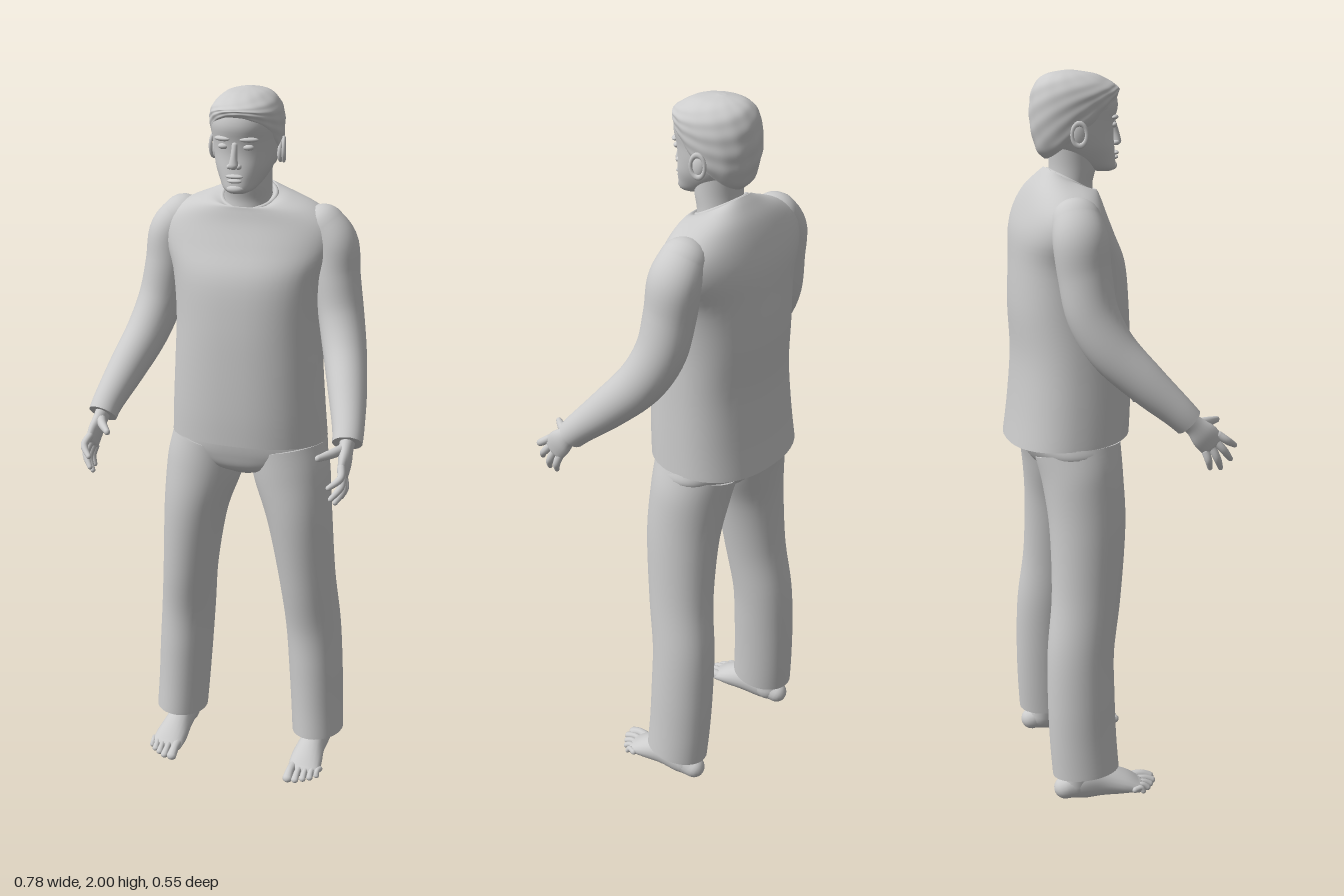
import * as THREE from 'three';

const V = (x, y, z) => new THREE.Vector3(x, y, z);
const grey = new THREE.MeshStandardMaterial({ color: 0xcccccc });
grey.name = 'plain grey';

// Smooth interpolation through rows of numbers
function sample(rows, t) {
  const n = rows.length - 1, f = Math.min(t * n, n - 1e-6), i = Math.floor(f), k = f - i;
  const p = (j) => rows[Math.max(0, Math.min(n, j))];
  return rows[0].map((_, c) => {
    const a = p(i - 1)[c], b = p(i)[c], d = p(i + 1)[c], e = p(i + 2)[c];
    return b + 0.5 * k * (d - a + k * (2 * a - 5 * b + 4 * d - e + k * (3 * (b - d) + e - a)));
  });
}

// Skin over closed rings of points, with capped ends
function skin(rings) {
  const n = rings[0].length, pos = [], index = [];
  const push = (v) => pos.push(v.x, v.y, v.z);
  rings.forEach((r) => r.forEach(push));
  for (let i = 0; i < rings.length - 1; i++) {
    for (let j = 0; j < n; j++) {
      const a = i * n + j, c = i * n + (j + 1) % n;
      index.push(a, a + n, c, a + n, c + n, c);
    }
  }
  [rings[0], rings[rings.length - 1]].forEach((ring, top) => {
    const start = pos.length / 3, mid = V(0, 0, 0);
    ring.forEach((v) => { push(v); mid.addScaledVector(v, 1 / n); });
    push(mid);
    for (let j = 0; j < n; j++) {
      const a = start + j, b = start + (j + 1) % n;
      index.push(start + n, top ? b : a, top ? a : b);
    }
  });
  const g = new THREE.BufferGeometry();
  g.setAttribute('position', new THREE.Float32BufferAttribute(pos, 3));
  g.setIndex(index);
  g.computeVertexNormals();
  return g;
}

// Upright body from rows [y, half width, front z, back z, tilt]
function loft(rows, power = 2, bump = () => 1, steps = 40, sides = 48) {
  const rings = [];
  for (let i = 0; i <= steps; i++) {
    const [y, rx, zf, zb, tilt] = sample(rows, i / steps);
    const ring = [];
    for (let j = 0; j < sides; j++) {
      const a = j / sides * Math.PI * 2, c = Math.cos(a), s = Math.sin(a);
      const e = (v) => Math.sign(v) * Math.abs(v) ** (2 / power);
      const k = bump(a, y);
      ring.push(V(rx * e(c) * k, y + tilt * s, (zf + zb) / 2 + (zf - zb) / 2 * e(s) * k));
    }
    rings.push(ring);
  }
  return skin(rings);
}

// Limb along rows [x, y, z, half width, half depth], rounded at chosen ends
function limb(rows, side = 1, roundStart = true, roundEnd = true, floor = -1, sides = 20) {
  const steps = rows.length * 5, rings = [];
  const at = (t) => { const r = sample(rows, t); r[0] *= side; return r; };
  const ring = (t, scale, shift) => {
    const r = at(t), a = at(Math.max(0, t - 0.02)), b = at(Math.min(1, t + 0.02));
    const dir = V(b[0] - a[0], b[1] - a[1], b[2] - a[2]).normalize();
    const u = V(1, 0, 0).addScaledVector(dir, -dir.x).normalize();
    const v = u.clone().cross(dir), out = [];
    for (let j = 0; j < sides; j++) {
      const w = j / sides * Math.PI * 2;
      const p = V(r[0], r[1], r[2]).addScaledVector(u, r[3] * scale * Math.cos(w))
        .addScaledVector(v, r[4] * scale * Math.sin(w))
        .addScaledVector(dir, shift * Math.min(r[3], r[4]));
      p.y = Math.max(floor, p.y);
      out.push(p);
    }
    rings.push(out);
  };
  const dome = [0.1, 0.4, 0.7, 1.0, 1.3];
  if (roundStart) dome.forEach((a) => ring(0, Math.sin(a), -Math.cos(a)));
  for (let i = 0; i <= steps; i++) ring(i / steps, 1, 0);
  if (roundEnd) dome.slice().reverse().forEach((a) => ring(1, Math.sin(a), Math.cos(a)));
  return skin(rings);
}

export function createModel() {
  const model = new THREE.Group();
  model.name = 'standing man';
  const add = (name, geometry, parent = model) => {
    const m = new THREE.Mesh(geometry, grey);
    m.name = name;
    parent.add(m);
    return m;
  };
  const blob = (name, x, y, z, rx, ry, rz, tilt = 0) => {
    const m = add(name, new THREE.SphereGeometry(1, 20, 14));
    m.position.set(x, y, z);
    m.scale.set(rx, ry, rz);
    m.rotation.x = tilt;
    return m;
  };

  // Loose sweater with a dipping back hem and sloped neckline
  add('sweater', loft([
    [1.025, 0.222, 0.06, -0.275, 0.013], [1.12, 0.216, 0.064, -0.262, 0.005],
    [1.25, 0.208, 0.064, -0.252, 0], [1.38, 0.204, 0.06, -0.257, 0],
    [1.5, 0.215, 0.047, -0.252, 0], [1.58, 0.245, 0.013, -0.246, 0],
    [1.64, 0.24, -0.012, -0.228, 0], [1.685, 0.185, -0.022, -0.203, -0.008],
    [1.71, 0.115, -0.025, -0.175, -0.02], [1.715, 0.078, -0.032, -0.158, -0.033]], 2.3));
  add('collar', skinRing());

  // Trouser seat
  add('trouserSeat', loft([
    [0.925, 0.05, -0.03, -0.15, 0], [0.95, 0.15, 0.005, -0.2, 0],
    [0.99, 0.222, 0.02, -0.228, 0], [1.04, 0.218, 0.028, -0.245, 0],
    [1.1, 0.2, 0.03, -0.23, 0]], 2.3));

  // Head, neck and hair
  add('neck', loft([
    [1.64, 0.075, -0.025, -0.165, 0], [1.7, 0.066, -0.03, -0.15, 0],
    [1.75, 0.064, -0.02, -0.145, 0], [1.82, 0.066, -0.02, -0.15, 0]]));
  add('head', loft([
    [1.735, 0.022, 0.025, -0.02, 0], [1.745, 0.042, 0.034, -0.06, 0],
    [1.77, 0.06, 0.033, -0.115, 0], [1.8, 0.075, 0.03, -0.145, 0],
    [1.835, 0.084, 0.027, -0.168, 0], [1.87, 0.088, 0.031, -0.182, 0],
    [1.91, 0.092, 0.039, -0.188, 0], [1.95, 0.084, 0.026, -0.178, 0],
    [1.98, 0.055, -0.01, -0.15, 0], [1.992, 0.01, -0.07, -0.09, 0]], 2.15));
  add('hair', loft([
    [1.85, 0.085, 0.028, -0.158, 0.08], [1.865, 0.092, 0.039, -0.178, 0.072],
    [1.9, 0.096, 0.043, -0.194, 0.048], [1.935, 0.094, 0.039, -0.194, 0.02],
    [1.965, 0.08, 0.02, -0.18, 0.003], [1.987, 0.052, -0.02, -0.15, 0],
    [1.997, 0.008, -0.08, -0.1, 0]], 2.1,
  (a, y) => 1 + 0.014 * Math.sin(a * 9 + y * 70) * Math.sin(a * 4 - y * 140), 60, 80));

  // Face
  add('nose', limb([[0, 1.862, 0.029, 0.008, 0.008], [0, 1.835, 0.036, 0.009, 0.01],
    [0, 1.812, 0.041, 0.013, 0.011]]));
  blob('upperLip', 0, 1.782, 0.033, 0.024, 0.006, 0.011);
  blob('lowerLip', 0, 1.77, 0.032, 0.02, 0.006, 0.011);
  blob('chin', 0, 1.748, 0.023, 0.025, 0.013, 0.017);
  for (const s of [1, -1]) {
    const label = s > 0 ? 'left' : 'right';
    blob(label + 'Nostril', s * 0.012, 1.808, 0.035, 0.008, 0.007, 0.01);
    blob(label + 'Eye', s * 0.034, 1.857, 0.02, 0.015, 0.008, 0.011);
    blob(label + 'Brow', s * 0.036, 1.877, 0.022, 0.025, 0.007, 0.012).rotation.y = s * 0.3;
    blob(label + 'Ear', s * 0.09, 1.835, -0.085, 0.01, 0.031, 0.019, -0.2);
    const rim = add(label + 'EarRim', new THREE.TorusGeometry(0.019, 0.005, 8, 24));
    rim.position.set(s * 0.097, 1.838, -0.087);
    rim.rotation.set(0, Math.PI / 2 + s * 0.25, 0);
    rim.scale.y = 1.5;

    // Bent sleeve ending in an open-looking cuff
    add(label + 'Sleeve', limb([
      [0.2, 1.632, -0.122, 0.06, 0.065], [0.234, 1.585, -0.12, 0.063, 0.072],
      [0.244, 1.5, -0.112, 0.063, 0.07], [0.262, 1.4, -0.096, 0.062, 0.068],
      [0.287, 1.31, -0.05, 0.059, 0.064], [0.318, 1.225, 0.03, 0.052, 0.055],
      [0.342, 1.155, 0.105, 0.043, 0.044], [0.349, 1.122, 0.138, 0.04, 0.04]], s, true, false, -1, 32));

    // Hand
    const hand = new THREE.Group();
    hand.name = label + 'Hand';
    model.add(hand);
    add('palm', limb([[0.348, 1.14, 0.12, 0.022, 0.027], [0.35, 1.112, 0.152, 0.019, 0.027],
      [0.354, 1.085, 0.178, 0.017, 0.036], [0.355, 1.06, 0.2, 0.013, 0.036]], s), hand);
    add('thumb', limb([[0.345, 1.115, 0.16, 0.014, 0.014], [0.325, 1.112, 0.195, 0.012, 0.013],
      [0.296, 1.108, 0.232, 0.008, 0.009]], s), hand);
    [[1.083, 0.218, 0.336, 1.046, 0.27], [1.066, 0.211, 0.339, 1.01, 0.258],
      [1.05, 0.2, 0.344, 0.989, 0.229], [1.04, 0.183, 0.352, 0.994, 0.197]]
      .forEach(([y, z, tx, ty, tz], i) => add('finger' + (i + 1), limb([
        [0.355, y, z, 0.011, 0.011], [0.36, (y + ty) / 2, (z + tz) / 2, 0.01, 0.01],
        [tx, ty, tz, 0.007, 0.007]], s, true, true, -1, 12), hand));

    // Trouser leg
    add(label + 'TrouserLeg', limb([
      [0.22, 0.085, -0.108, 0.076, 0.094], [0.214, 0.18, -0.114, 0.077, 0.094],
      [0.207, 0.3, -0.117, 0.079, 0.094], [0.197, 0.44, -0.115, 0.08, 0.093],
      [0.181, 0.6, -0.095, 0.081, 0.096], [0.158, 0.79, -0.085, 0.093, 0.105],
      [0.132, 0.92, -0.091, 0.11, 0.111], [0.115, 1.0, -0.1, 0.11, 0.118]], s, false, false, -1, 36));

    // Bare foot
    const foot = new THREE.Group();
    foot.name = label + 'Foot';
    model.add(foot);
    add('ankle', limb([[0.215, 0.04, -0.135, 0.038, 0.045], [0.215, 0.1, -0.125, 0.038, 0.046],
      [0.215, 0.2, -0.115, 0.042, 0.05]], s), foot);
    add('sole', limb([[0.217, 0.034, -0.167, 0.032, 0.032], [0.217, 0.045, -0.12, 0.037, 0.05],
      [0.215, 0.042, -0.06, 0.04, 0.046], [0.216, 0.03, 0, 0.048, 0.033],
      [0.219, 0.018, 0.042, 0.048, 0.018]], s, true, true, 0.002), foot);
    [[0.184, 0.09, 0.015], [0.207, 0.092, 0.011], [0.227, 0.08, 0.01],
      [0.245, 0.067, 0.01], [0.261, 0.05, 0.009]]
      .forEach(([x, z, r], i) => add('toe' + (i + 1), limb([
        [x + 0.003, 0.022, 0.025, r, r], [x, 0.024, (z + 0.035) / 2, r * 0.85, r * 0.85],
        [x, 0.014, z, r, r * 0.85]], s, true, true, 0.001, 12), foot));
  }
  return model;
}

// Ribbed neckline ring, sloping down to the front
function skinRing() {
  const g = new THREE.TorusGeometry(0.074, 0.008, 10, 48);
  g.rotateX(Math.PI / 2);
  g.scale(1, 1.2, 0.88);
  g.rotateX(0.47);
  g.translate(0, 1.708, -0.093);
  return g;
}
